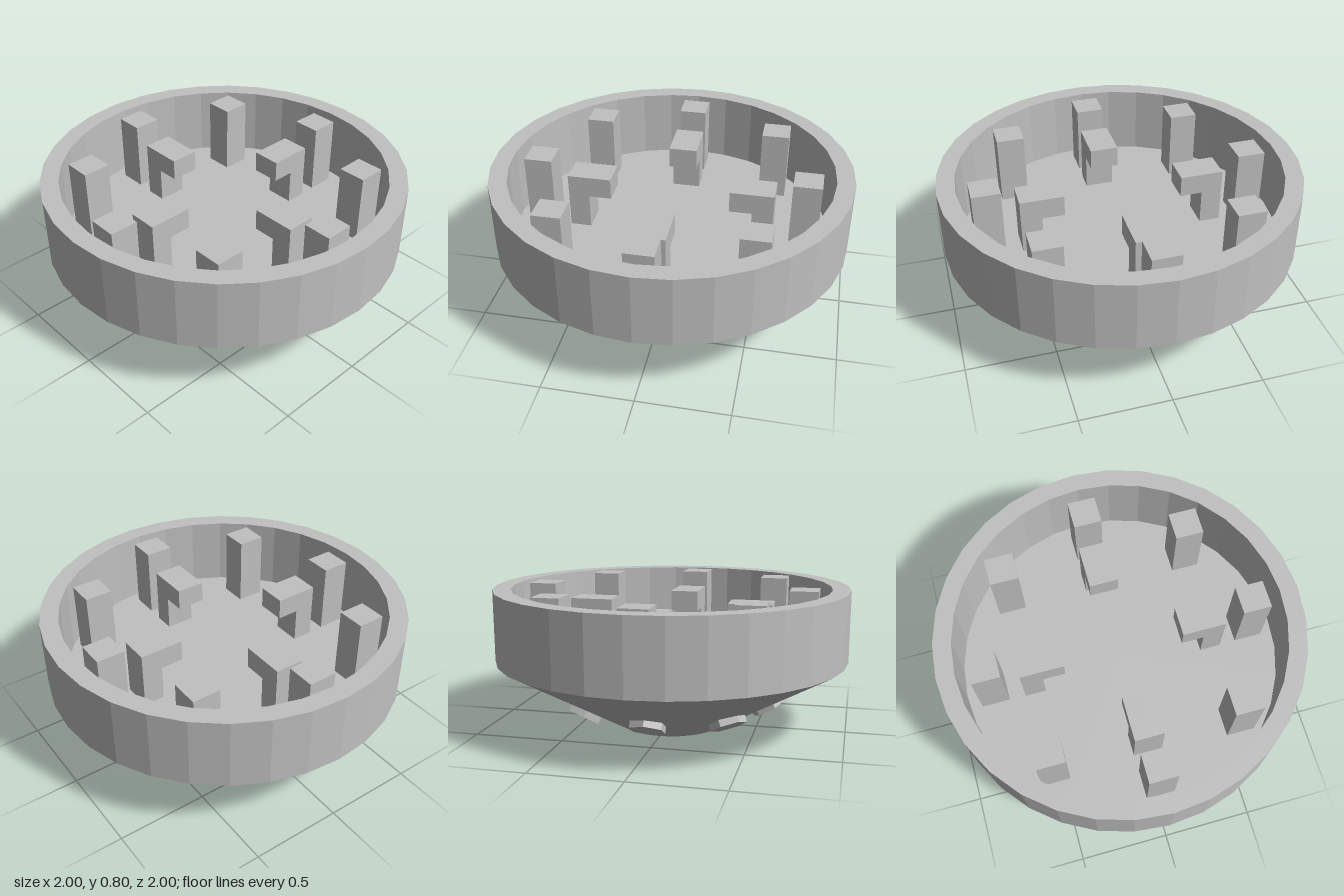
import * as THREE from 'three';

export function createModel() {
  const model = new THREE.Group();
  const grey = new THREE.MeshStandardMaterial({ color: 0xc0c0c0, flatShading: true });
  grey.name = 'light grey';

  const add = (parent, name, geometry, x, y, z) => {
    const mesh = new THREE.Mesh(geometry, grey);
    mesh.name = name;
    mesh.position.set(x, y, z);
    parent.add(mesh);
    return mesh;
  };

  // Open dish: dented underside, sloping hull, upright rim and flat floor
  const profile = [[0, 0.19], [0.3, 0], [1, 0.4], [1, 0.8], [0.9, 0.8], [0.9, 0.4], [0, 0.4]]
    .map(([x, y]) => new THREE.Vector2(x, y));
  add(model, 'hull', new THREE.LatheGeometry(profile, 32), 0, 0, 0);

  const pillarShape = new THREE.BoxGeometry(0.157, 0.4, 0.157);
  const podShape = new THREE.CylinderGeometry(0.1, 0.1, 0.06, 6);
  for (let i = 0; i < 8; i++) {
    const angle = i * Math.PI / 4;

    // Ring of square pillars, all aligned with the axes
    add(model, 'pillar', pillarShape, 0.75 * Math.sin(angle), 0.6, 0.75 * Math.cos(angle));

    // Hexagonal pods set into the sloping underside
    const podMount = new THREE.Group();
    podMount.name = 'podMount';
    podMount.rotation.y = angle;
    const pod = add(podMount, 'pod', podShape, 0, 0.141, 0.555);
    pod.rotation.x = Math.PI * 5 / 6;
    model.add(podMount);
  }

  // Four consoles: an outer leg with a top reaching towards the centre
  const legShape = new THREE.BoxGeometry(0.163, 0.2, 0.118);
  const topShape = new THREE.BoxGeometry(0.163, 0.12, 0.245);
  for (let i = 0; i < 4; i++) {
    const console4 = new THREE.Group();
    console4.name = 'console';
    console4.rotation.y = i * Math.PI / 2;
    add(console4, 'consoleLeg', legShape, 0, 0.5, 0.52);
    add(console4, 'consoleTop', topShape, 0, 0.66, 0.457);
    model.add(console4);
  }

  return model;
}
